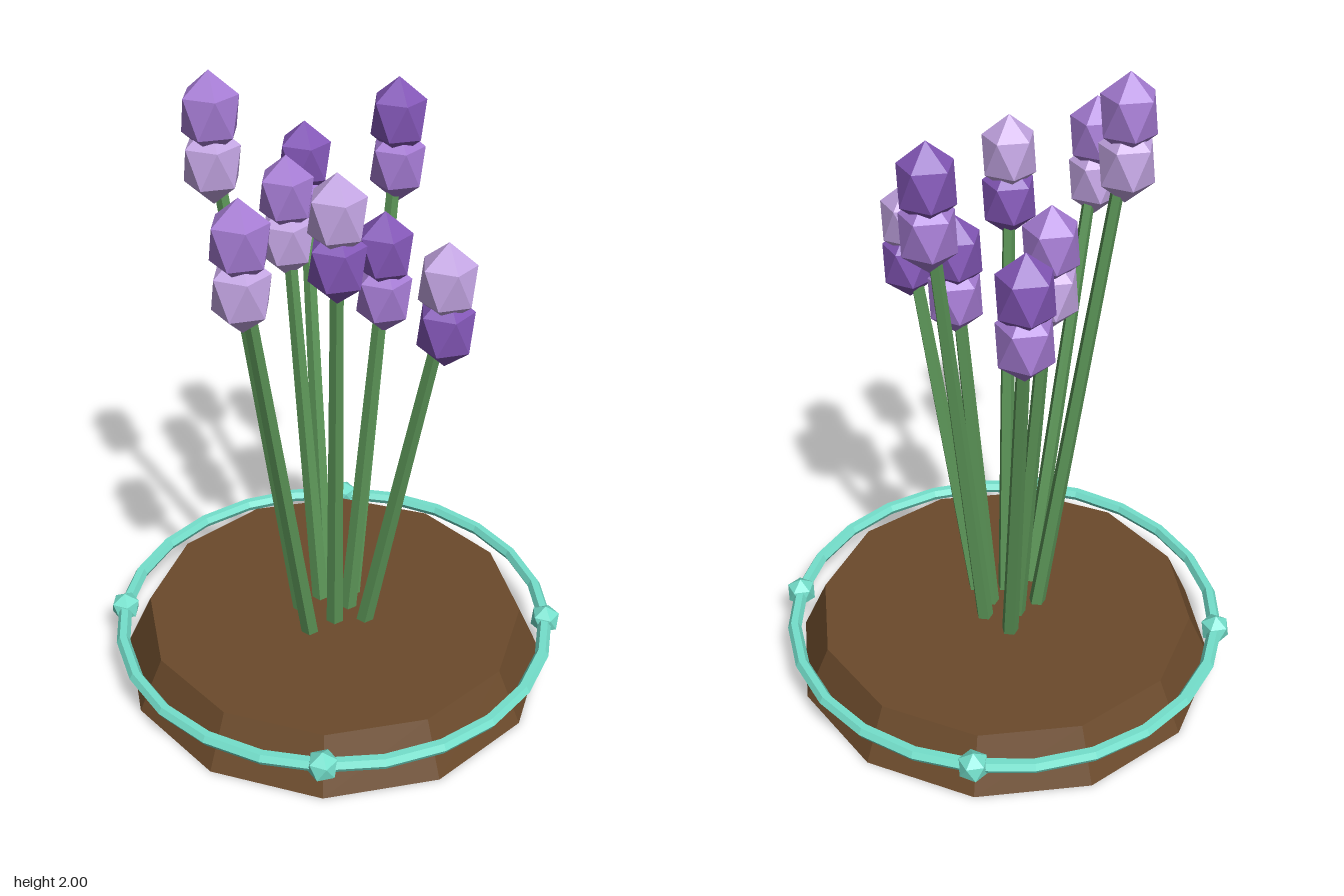
import * as THREE from 'three';

const paint = (color) => new THREE.MeshStandardMaterial({ color, flatShading: true });

// Icosahedron standing on one of its corners, stretched to a given height
function pointedIcosahedron(radius, halfHeight) {
  const g = new THREE.IcosahedronGeometry(radius, 0);
  g.rotateX(-Math.atan((1 + Math.sqrt(5)) / 2));
  g.rotateY(Math.PI / 2);
  return g.scale(1, halfHeight / radius, 1);
}

export function createModel() {
  const model = new THREE.Group();
  model.name = 'lavenderPatch';

  const soilMat = paint(0x6b4a2b);
  const stemMat = paint(0x5c9658);
  const ringMat = paint(0x74e0cc);
  const light = paint(0xc4a6e4);
  const mid = paint(0xa67cd4);
  const dark = paint(0x8457b8);

  const add = (parent, name, geometry, material, x = 0, y = 0, z = 0) => {
    const mesh = new THREE.Mesh(geometry, material);
    mesh.name = name;
    mesh.position.set(x, y, z);
    parent.add(mesh);
    return mesh;
  };

  // Soil mound
  add(model, 'soil', new THREE.CylinderGeometry(0.61, 0.69, 0.175, 12), soilMat, 0, 0.0875, 0);

  // Ring around the mound with four beads
  const ringY = 0.14, ringR = 0.695;
  const ringGeo = new THREE.TorusGeometry(ringR, 0.022, 6, 24).rotateX(Math.PI / 2);
  add(model, 'ring', ringGeo, ringMat, 0, ringY, 0);
  const beadGeo = pointedIcosahedron(0.05, 0.05);
  for (let i = 0; i < 4; i++) {
    const a = (i * Math.PI) / 2;
    add(model, 'ringBead', beadGeo, ringMat, ringR * Math.cos(a), ringY, ringR * Math.sin(a));
  }

  // Flowers: head x, head z, tip height, upper and lower blossom colour
  const flowers = [
    [-0.33, 0.06, 2.0, mid, light],
    [-0.22, 0.42, 1.79, mid, light],
    [-0.11, -0.42, 1.69, dark, mid],
    [-0.145, -0.135, 1.69, mid, light],
    [0.175, -0.23, 1.895, dark, mid],
    [0.02, 0.24, 1.79, light, dark],
    [0.145, 0, 1.58, dark, mid],
    [0.32, 0.2, 1.58, light, dark],
  ];
  const blossomGeo = pointedIcosahedron(0.09, 0.12);
  const up = new THREE.Vector3(0, 1, 0);
  const spread = 0.31; // how far out the stems start, relative to their heads

  for (const [x, z, tip, upper, lower] of flowers) {
    const flower = new THREE.Group();
    flower.name = 'flower';
    model.add(flower);

    // Leaning, tapered stem
    const foot = new THREE.Vector3(x * spread, 0.15, z * spread);
    const dir = new THREE.Vector3(x, tip - 0.19, z).sub(foot);
    const length = dir.length();
    const stemGeo = new THREE.CylinderGeometry(0.019, 0.028, length, 5).translate(0, length / 2, 0);
    const stem = add(flower, 'stem', stemGeo, stemMat, foot.x, foot.y, foot.z);
    stem.quaternion.setFromUnitVectors(up, dir.normalize());

    // Two stacked blossoms
    add(flower, 'upperBlossom', blossomGeo, upper, x, tip - 0.12, z);
    add(flower, 'lowerBlossom', blossomGeo, lower, x, tip - 0.262, z);
  }
  return model;
}
